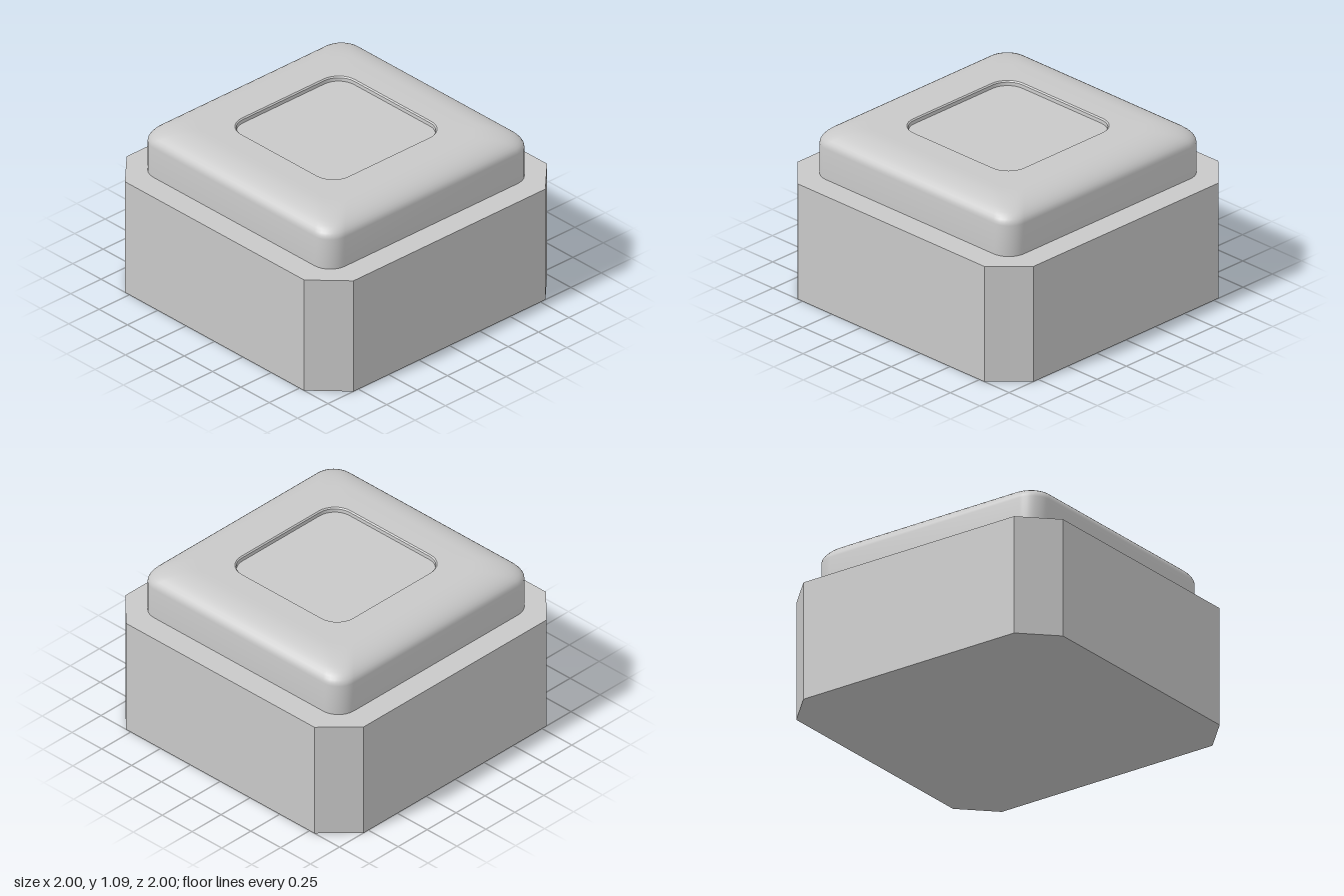
import * as THREE from 'three';
import { toCreasedNormals } from 'three/addons/utils/BufferGeometryUtils.js';

const BASE_TOP = 0.775;
const TOP = 1.09;

// Skin a stack of rounded-square sections [half width, corner radius, y], closing the last one
function roundedSquareLoft(sections, steps = 8) {
  const positions = [], index = [];
  const n = 4 * (steps + 1);
  for (const [half, radius, y] of sections) {
    for (let corner = 0; corner < 4; corner++) {
      const mid = (corner + 0.5) * Math.PI / 2;
      const cx = Math.sign(Math.cos(mid)) * (half - radius);
      const cz = Math.sign(Math.sin(mid)) * (half - radius);
      for (let k = 0; k <= steps; k++) {
        const a = (corner + k / steps) * Math.PI / 2;
        positions.push(cx + radius * Math.cos(a), y, cz + radius * Math.sin(a));
      }
    }
  }
  for (let i = 0; i < sections.length - 1; i++) {
    for (let j = 0; j < n; j++) {
      const a = i * n + j, b = i * n + (j + 1) % n;
      index.push(a, a + n, b, b, a + n, b + n);
    }
  }
  const last = (sections.length - 1) * n, centre = sections.length * n;
  positions.push(0, sections[sections.length - 1][2], 0);
  for (let j = 0; j < n; j++) index.push(last + j, centre, last + (j + 1) % n);

  const geometry = new THREE.BufferGeometry();
  geometry.setAttribute('position', new THREE.Float32BufferAttribute(positions, 3));
  geometry.setIndex(index);
  return toCreasedNormals(geometry, 0.6);
}

export function createModel() {
  const group = new THREE.Group();
  group.name = 'squareButton';
  const grey = new THREE.MeshStandardMaterial({ color: 0xc8c8c8 });
  grey.name = 'lightGrey';

  // Square base with chamfered corners
  const c = 0.79;
  const outline = new THREE.Shape([
    [1, -c], [1, c], [c, 1], [-c, 1], [-1, c], [-1, -c], [-c, -1], [c, -1],
  ].map(([x, y]) => new THREE.Vector2(x, y)));
  const baseGeometry = new THREE.ExtrudeGeometry(outline, { depth: BASE_TOP, bevelEnabled: false });
  baseGeometry.rotateX(-Math.PI / 2);
  const base = new THREE.Mesh(baseGeometry, grey);
  base.name = 'base';

  // Cap: straight wall, elliptical shoulder, then a shallow recess in the top
  const sections = [[0.84, 0.13, BASE_TOP]];
  const steps = 10, run = 0.21, rise = 0.11;
  for (let i = 0; i <= steps; i++) {
    const a = i / steps * Math.PI / 2;
    sections.push([0.84 - run * (1 - Math.cos(a)), 0.13, TOP - rise * (1 - Math.sin(a))]);
  }
  sections.push([0.47, 0.135, TOP], [0.462, 0.127, TOP - 0.008], [0.46, 0.125, TOP - 0.03]);
  const cap = new THREE.Mesh(roundedSquareLoft(sections), grey);
  cap.name = 'cap';

  group.add(base, cap);
  return group;
}
